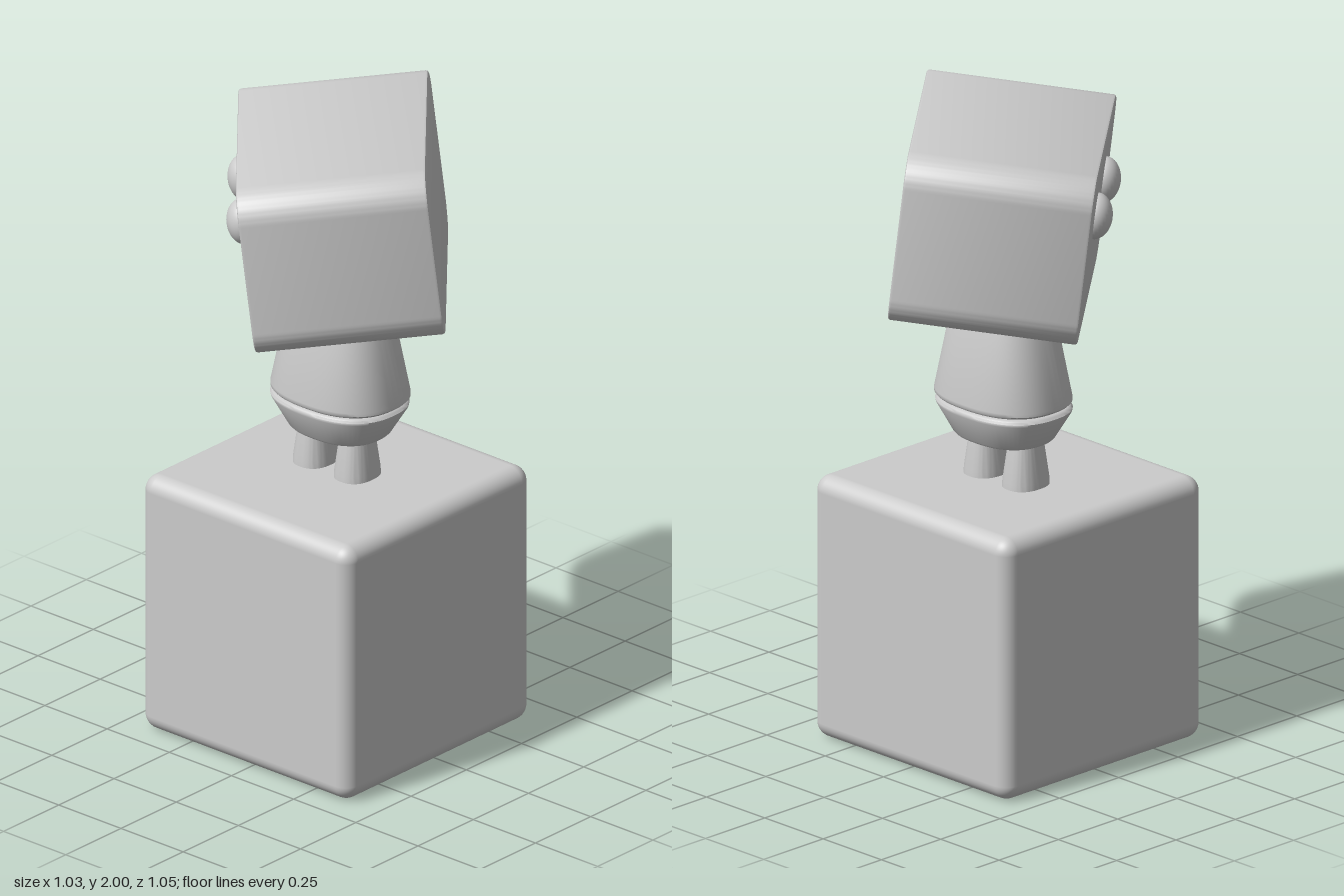
import * as THREE from 'three';
import { mergeVertices, toCreasedNormals } from 'three/addons/utils/BufferGeometryUtils.js';
import { RoundedBoxGeometry } from 'three/addons/geometries/RoundedBoxGeometry.js';

const material = new THREE.MeshStandardMaterial({ color: 0xcccccc });

function part(name, geometry, x = 0, y = 0, z = 0) {
  const mesh = new THREE.Mesh(geometry, material);
  mesh.name = name;
  mesh.position.set(x, y, z);
  return mesh;
}

// Turned solid with a slightly squared oval section; profile runs bottom to top
function ovalTurned(profile, depth) {
  const geo = new THREE.LatheGeometry(profile.map(([r, y]) => new THREE.Vector2(r, y)), 64);
  const p = geo.attributes.position;
  const power = 2 / 2.4;
  for (let i = 0; i < p.count; i++) {
    const x = p.getX(i), z = p.getZ(i), r = Math.hypot(x, z);
    if (r < 1e-6) continue;
    const soften = (v) => Math.sign(v) * r * Math.pow(Math.abs(v) / r, power);
    p.setX(i, soften(x));
    p.setZ(i, soften(z) * depth);
  }
  geo.deleteAttribute('uv');
  geo.deleteAttribute('normal');
  return toCreasedNormals(mergeVertices(geo, 1e-5), 0.75);
}

// Block with generously rounded long edges and finely bevelled end faces
function headBlock(w, h, d, r, bevel) {
  const x = w / 2 - bevel, y = h / 2 - bevel;
  const shape = new THREE.Shape();
  shape.absarc(x - r, y - r, r, 0, Math.PI / 2);
  shape.absarc(-x + r, y - r, r, Math.PI / 2, Math.PI);
  shape.absarc(-x + r, -y + r, r, Math.PI, Math.PI * 1.5);
  shape.absarc(x - r, -y + r, r, Math.PI * 1.5, Math.PI * 2);
  shape.closePath();
  const geo = new THREE.ExtrudeGeometry(shape, {
    depth: d - 2 * bevel, bevelSize: bevel, bevelThickness: bevel, bevelSegments: 2, curveSegments: 10,
  });
  geo.translate(0, 0, bevel - d / 2);
  return toCreasedNormals(geo, 0.6);
}

export function createModel() {
  const model = new THREE.Group();
  model.name = 'figureOnBlock';

  // Pedestal
  model.add(part('pedestal', new RoundedBoxGeometry(0.84, 0.84, 0.84, 5, 0.05), -0.015, 0.42, 0.01));

  // Legs
  const leg = ovalTurned([[0, 0.83], [0.061, 0.83], [0.06, 0.86], [0.045, 0.985], [0, 0.985]], 1.22);
  model.add(part('rightLeg', leg, -0.11, 0, -0.008));
  model.add(part('leftLeg', leg, 0.055, 0, -0.008));

  // Hips and torso, parted by a narrow groove
  const hips = ovalTurned([
    [0, 0.976], [0.148, 0.976], [0.157, 0.979], [0.164, 0.986],
    [0.217, 1.072], [0.219, 1.08], [0.215, 1.087], [0.205, 1.091], [0, 1.091],
  ], 0.78);
  const torso = ovalTurned([
    [0, 1.085], [0.195, 1.085], [0.195, 1.095], [0.213, 1.097], [0.22, 1.104], [0.22, 1.114],
    [0.168, 1.365], [0.162, 1.382], [0.152, 1.392], [0.138, 1.396], [0, 1.4],
  ], 0.78);
  model.add(part('hips', hips, -0.016, 0, -0.008));
  model.add(part('torso', torso, -0.013, 0, -0.008));
  model.add(part('neck', new THREE.CylinderGeometry(0.07, 0.07, 0.1, 32), -0.01, 1.42, -0.008));

  // Head, turned to its right and tipped forward
  const head = new THREE.Group();
  head.name = 'head';
  head.position.set(0, 1.698, 0);
  head.rotation.set(THREE.MathUtils.degToRad(6.5), THREE.MathUtils.degToRad(-49), 0, 'YXZ');
  head.add(part('skull', headBlock(0.87, 0.54, 0.575, 0.085, 0.008)));
  for (const side of [-1, 1]) {
    const eye = part(side < 0 ? 'rightEye' : 'leftEye', new THREE.SphereGeometry(1, 32, 20), side * 0.155, 0.072, 0.2875);
    eye.scale.set(0.064, 0.072, 0.052);
    head.add(eye);
  }
  model.add(head);
  return model;
}
